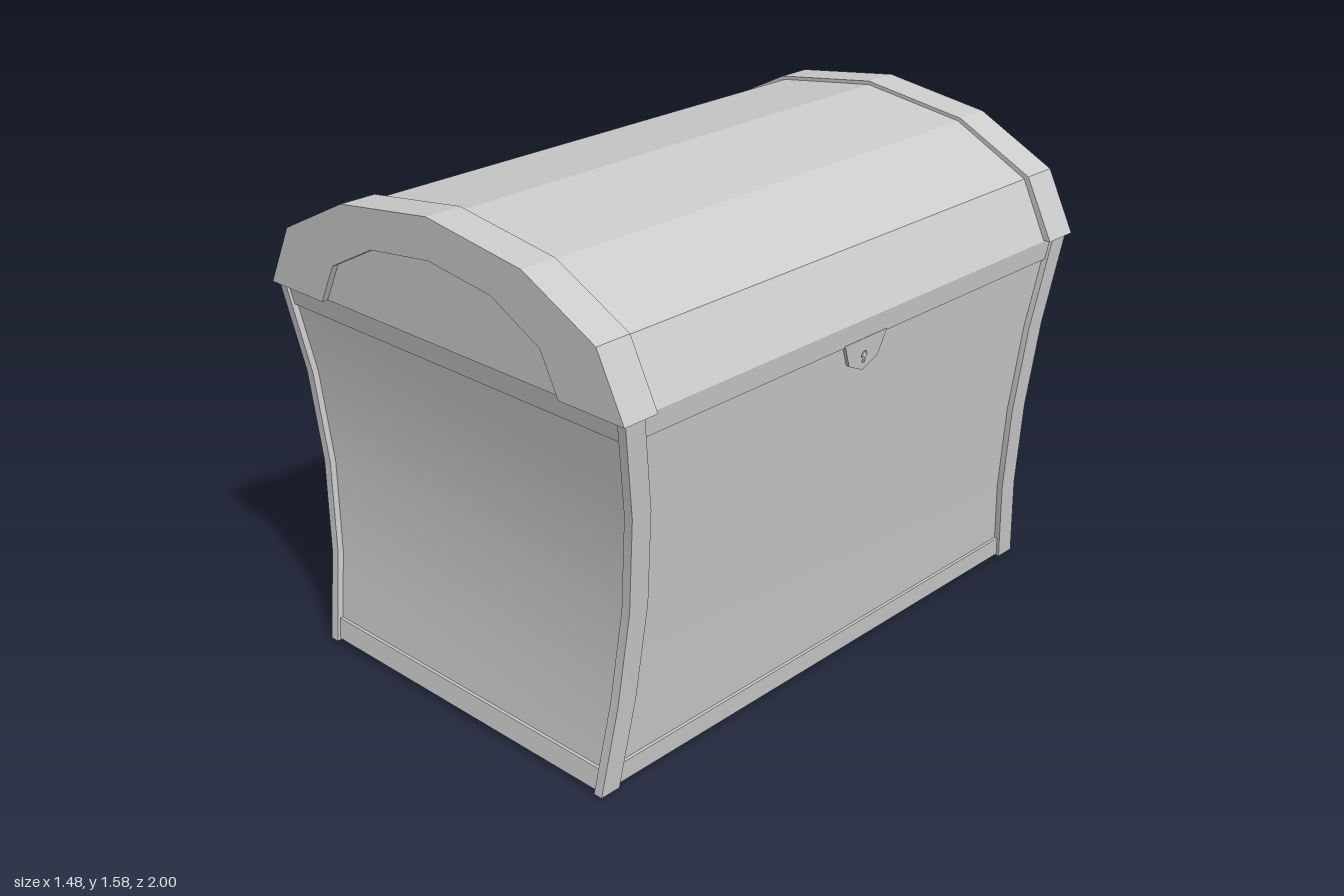
import * as THREE from 'three';
import { toCreasedNormals } from 'three/addons/utils/BufferGeometryUtils.js';

const LEVELS = [0, 0.3, 0.6, 0.9, 1.2];
const HALF_X = [0.615, 0.64, 0.67, 0.7, 0.73];
const HALF_Z = [0.988, 0.94, 0.92, 0.935, 0.985];

// outer outline of the body at height y
function sample(table, y) {
  const t = Math.min(Math.max(y / 0.3, 0), 4);
  const i = Math.min(Math.floor(t), 3);
  return THREE.MathUtils.lerp(table[i], table[i + 1], t - i);
}
const X = (y) => sample(HALF_X, y);
const Z = (y) => sample(HALF_Z, y);

const material = new THREE.MeshStandardMaterial({ color: 0xcccccc, side: THREE.DoubleSide });

function addMesh(parent, name, geometry) {
  const mesh = new THREE.Mesh(geometry, material);
  mesh.name = name;
  parent.add(mesh);
  return mesh;
}

// stack of rectangles between two heights; section(y) gives [xa, xb, za, zb]
function loft(yMin, yMax, section) {
  const ys = [yMin, ...LEVELS.filter((y) => y > yMin + 0.02 && y < yMax - 0.02), yMax];
  const rings = ys.map((y) => {
    const [xa, xb, za, zb] = section(y);
    const x0 = Math.min(xa, xb), x1 = Math.max(xa, xb);
    const z0 = Math.min(za, zb), z1 = Math.max(za, zb);
    return [[x0, y, z0], [x1, y, z0], [x1, y, z1], [x0, y, z1]];
  });
  const pos = [];
  const quad = (a, b, c, d) => pos.push(...a, ...b, ...c, ...a, ...c, ...d);
  quad(...rings[0]);
  quad(...[...rings[rings.length - 1]].reverse());
  for (let r = 0; r + 1 < rings.length; r++) {
    for (let i = 0; i < 4; i++) {
      const j = (i + 1) % 4;
      quad(rings[r][i], rings[r + 1][i], rings[r + 1][j], rings[r][j]);
    }
  }
  const geo = new THREE.BufferGeometry();
  geo.setAttribute('position', new THREE.Float32BufferAttribute(pos, 3));
  return toCreasedNormals(geo, 0.5);
}

// right half of a faceted arch, mirrored into a full point list
function arch(half) {
  const left = half.slice(0, -1).reverse().map(([x, y]) => [-x, y]);
  return [...half, ...left].map(([x, y]) => new THREE.Vector2(x, y));
}

function extrude(shape, depth, z) {
  const geo = new THREE.ExtrudeGeometry(shape, { depth, bevelEnabled: false });
  return geo.translate(0, 0, z);
}

function createBody() {
  const body = new THREE.Group();
  body.name = 'body';
  const bands = [['Panel', 0.02, 1.195, 0.02], ['TopRail', 1.128, 1.195, 0.01], ['BottomRail', 0.018, 0.085, 0.01]];

  for (const s of [1, -1]) {
    const end = s > 0 ? 'front' : 'back';
    const flank = s > 0 ? 'left' : 'right';
    for (const [part, y0, y1, inset] of bands) {
      // short end walls
      addMesh(body, end + part, loft(y0, y1, (y) => [
        -X(y) + 0.02, X(y) - 0.02, s * (Z(y) - inset), s * (Z(y) - 0.035)]));
      // long side walls
      addMesh(body, flank + part, loft(y0, y1, (y) => [
        s * (X(y) - inset), s * (X(y) - 0.032), -Z(y) + 0.03, Z(y) - 0.03]));
    }
    // curved corner posts
    for (const t of [1, -1]) {
      const foot = s < 0 && t < 0 ? 0 : 0.012;
      addMesh(body, 'cornerPost', loft(foot, 1.2, (y) => [
        s * X(y), s * (X(y) - 0.03), t * Z(y), t * (Z(y) - 0.07)]));
    }
  }

  // lock plate with a keyhole, leaning with the side wall
  const plate = new THREE.Shape(arch([[0.095, 0.01], [0.065, -0.065], [0, -0.095]]));
  const hole = new THREE.Path();
  hole.absarc(0, -0.045, 0.012, -Math.PI / 3, Math.PI * 4 / 3, false);
  hole.lineTo(-0.006, -0.072);
  hole.lineTo(0.006, -0.072);
  hole.closePath();
  plate.holes.push(hole);
  const lock = addMesh(body, 'lockPlate', extrude(plate, 0.015, 0).rotateY(Math.PI / 2).rotateZ(-0.1));
  lock.position.set(X(1.125) - 0.024, 1.125, 0);
  return body;
}

function createLid() {
  const lid = new THREE.Group();
  lid.name = 'lid';
  // barrel shell between the end frames
  const outer = arch([[0.72, 1.195], [0.63, 1.38], [0.365, 1.515], [0, 1.565]]);
  const inner = arch([[0.69, 1.195], [0.605, 1.36], [0.355, 1.49], [0, 1.54]]);
  const shell = new THREE.Shape([...outer, ...inner.reverse()]);
  addMesh(lid, 'lidShell', extrude(shell, 1.78, -0.89));

  // end frames with a recessed arched panel
  const frameOuter = arch([[0.742, 1.198], [0.645, 1.39], [0.375, 1.525], [0, 1.577]]);
  const opening = arch([[0.5, 1.198], [0.435, 1.325], [0.25, 1.42], [0, 1.452]]);
  const frame = new THREE.Shape([...frameOuter, ...[...opening].reverse()]);
  const panel = new THREE.Shape(opening);
  for (const s of [1, -1]) {
    const end = new THREE.Group();
    end.name = s > 0 ? 'frontLidEnd' : 'backLidEnd';
    addMesh(end, 'endFrame', extrude(frame, 0.12, 0.88));
    addMesh(end, 'endPanel', extrude(panel, 0.02, 0.96));
    if (s < 0) end.rotation.y = Math.PI;
    lid.add(end);
  }
  return lid;
}

export function createModel() {
  const chest = new THREE.Group();
  chest.name = 'chest';
  chest.add(createBody(), createLid());
  return chest;
}
